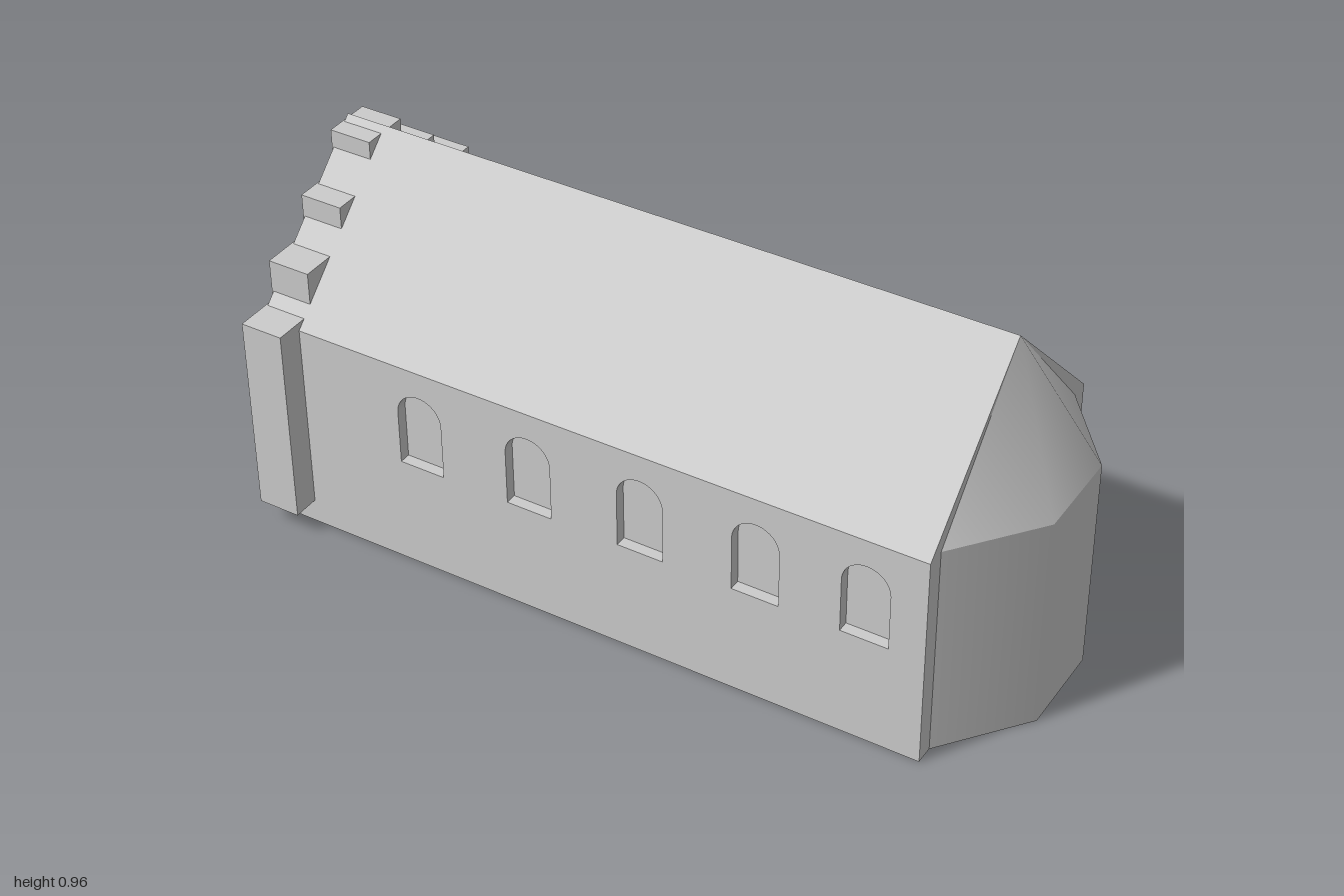
import * as THREE from 'three';

const EAVE = 0.585, RIDGE = 0.96, HALF = 0.39, INNER = 0.36;
const WEST = -0.995, EAST = 0.83, NICHE_END = -0.77;
const NICHES = [-0.28, 0, 0.28], NICHE_W = 0.065;

export function createModel() {
  const model = new THREE.Group();
  model.name = 'chapel';
  const stone = new THREE.MeshStandardMaterial({ color: 0xcccccc });
  stone.name = 'pale grey stone';

  const add = (name, geometry) => {
    const mesh = new THREE.Mesh(geometry, stone);
    mesh.name = name;
    model.add(mesh);
    return mesh;
  };

  // Extrude a (z, y) cross-section along x
  const alongX = (points, x0, x1) => {
    const shape = new THREE.Shape(points.map(p => new THREE.Vector2(...p)));
    return new THREE.ExtrudeGeometry(shape, { depth: x1 - x0, bevelEnabled: false })
      .rotateY(Math.PI / 2).translate(x0, 0, 0);
  };

  // Bottom edge of a section, notched by the pointed doorways
  const notchedBase = y => NICHES.flatMap(c => [
    [c - NICHE_W, y], [c - NICHE_W, 0.39], [c, 0.435], [c + NICHE_W, 0.39], [c + NICHE_W, y]]);

  // Nave core: solid to the east, with doorways in the west end
  const upper = [[INNER, 0], [INNER, EAVE], [HALF, EAVE], [0, RIDGE],
    [-HALF, EAVE], [-INNER, EAVE], [-INNER, 0]];
  add('nave', alongX(upper, NICHE_END, EAST));
  add('westBay', alongX([...upper, ...notchedBase(0)], WEST, NICHE_END));

  // Long walls with round-headed window recesses
  const wall = new THREE.Shape([[WEST, 0], [EAST, 0], [EAST, EAVE], [WEST, EAVE]]
    .map(p => new THREE.Vector2(...p)));
  const r = 0.0625;
  for (const x of [-0.54, -0.23, 0.08, 0.39, 0.675]) {
    const hole = new THREE.Path();
    hole.moveTo(x - r, 0.3);
    hole.lineTo(x + r, 0.3);
    hole.absarc(x, 0.45, r, 0, Math.PI, false);
    hole.closePath();
    wall.holes.push(hole);
  }
  for (const [name, z] of [['frontWall', INNER], ['backWall', -HALF]]) {
    add(name, new THREE.ExtrudeGeometry(wall,
      { depth: HALF - INNER, bevelEnabled: false, curveSegments: 12 })).position.z = z;
  }

  // Stepped west gable with corner buttresses
  const steps = [[0.462, 0.065], [0.462, 0.607], [0.34, 0.607], [0.34, 0.72], [0.197, 0.72],
    [0.197, 0.83], [0.065, 0.83], [0.065, 0.945]];
  const mirrored = steps.map(([z, y]) => [-z, y]).reverse();
  add('steppedGable', alongX([...steps, ...mirrored, ...notchedBase(0.065)], -1, -0.885));

  // Three-sided apse, smoothly shaded, with a half-cone roof
  const plan = [[EAST, 0.34], [1, 0.125], [1, -0.125], [EAST, -0.34]];
  const ring = y => plan.flatMap(([x, z]) => [x, y, z]);
  const surface = (name, positions, index) => {
    const g = new THREE.BufferGeometry();
    g.setAttribute('position', new THREE.Float32BufferAttribute(positions, 3));
    g.setIndex(index);
    g.computeVertexNormals();
    add(name, g);
  };
  const sides = [0, 1, 2];
  surface('apseWall', [...ring(0), ...ring(EAVE)],
    sides.flatMap(i => [i, i + 1, i + 5, i, i + 5, i + 4]));
  surface('apseRoof', [...ring(EAVE), EAST, RIDGE, 0], sides.flatMap(i => [i, i + 1, 4]));
  surface('apseFloor', ring(0), [0, 2, 1, 0, 3, 2]);

  return model;
}
